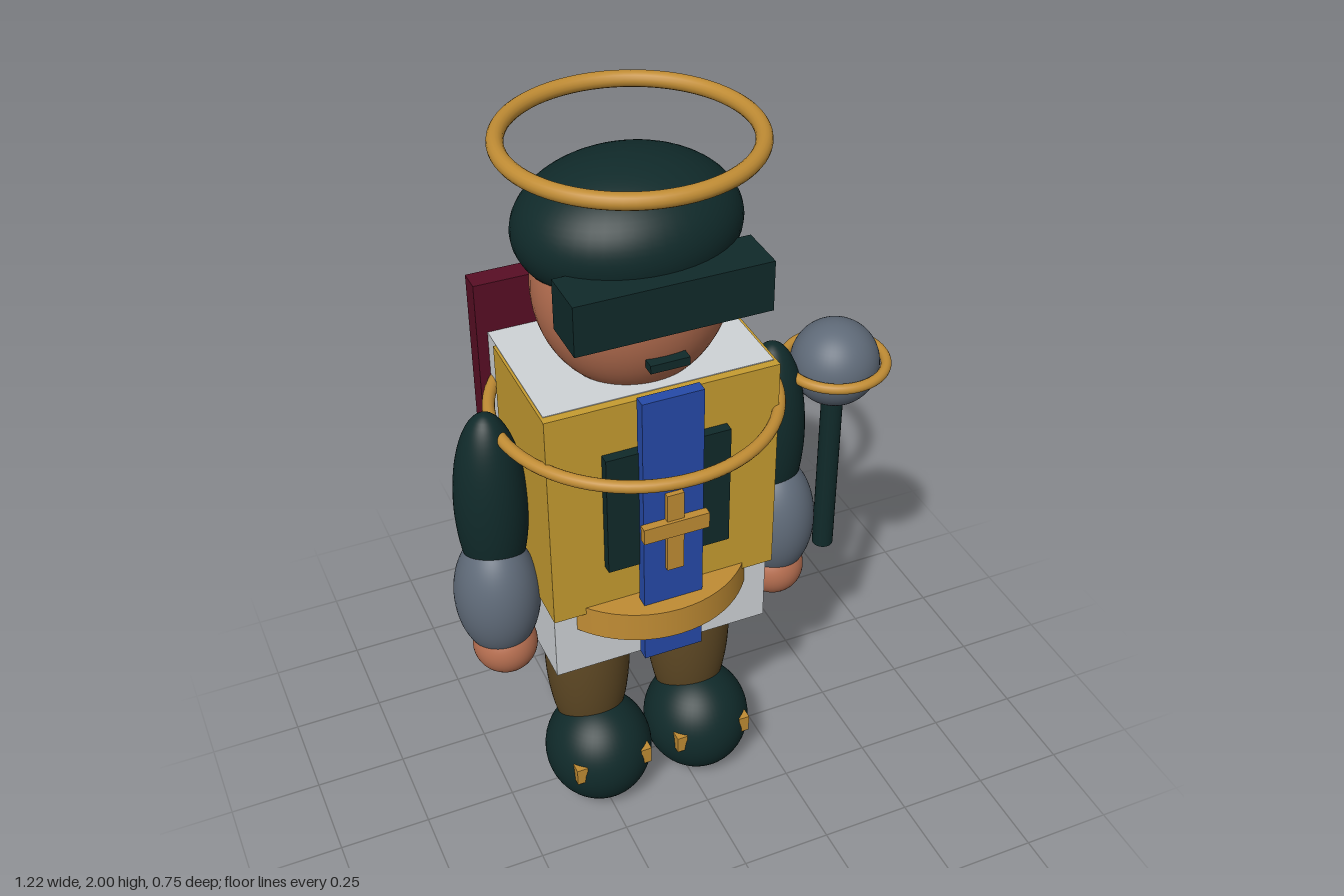
import * as THREE from 'three';

const mat = (name, color) => {
  const m = new THREE.MeshStandardMaterial({ color });
  m.name = name;
  return m;
};

export function createModel() {
  const green = mat('dark green', 0x102a2a);
  const gold = mat('gold trim', 0xc08c34);
  const yellow = mat('yellow tunic', 0xc69c30);
  const blue = mat('blue sash', 0x264aa8);
  const white = mat('white cloth', 0xcfd3d6);
  const red = mat('dark red', 0x580e24);
  const skin = mat('skin', 0xb56e50);
  const steel = mat('grey steel', 0x5f6a78);
  const brown = mat('brown trousers', 0x5e4824);
  const eyeBlue = mat('pale eye', 0xa8ccd4);

  const model = new THREE.Group();
  model.name = 'figure';
  // The body stands left of the middle to balance the mace
  const body = new THREE.Group();
  body.name = 'body';
  body.position.x = -0.104;
  model.add(body);

  const add = (parent, name, geo, material, x, y, z) => {
    const mesh = new THREE.Mesh(geo, material);
    mesh.name = name;
    mesh.position.set(x, y, z);
    parent.add(mesh);
    return mesh;
  };
  const box = (name, m, w, h, d, x, y, z) =>
    add(body, name, new THREE.BoxGeometry(w, h, d), m, x, y, z);
  const ball = (name, m, rx, ry, rz, x, y, z, parent = body) =>
    add(parent, name, new THREE.SphereGeometry(1, 48, 32).scale(rx, ry, rz), m, x, y, z);
  const ring = (name, radius, tube, x, y, parent = body) =>
    add(parent, name, new THREE.TorusGeometry(radius, tube, 16, 72).rotateX(Math.PI / 2), gold, x, y, 0);

  // Head, hat and halo
  ball('head', skin, 0.246, 0.28, 0.217, 0, 1.62, 0);
  const profile = [new THREE.Vector2(0, -0.5)];
  for (let i = 0; i <= 24; i++) {
    const a = (Math.PI * 2 / 3) * (1 - i / 24);
    profile.push(new THREE.Vector2(Math.sin(a), Math.cos(a)));
  }
  const hat = add(body, 'hat', new THREE.LatheGeometry(profile, 48).scale(0.278, 0.172, 0.239),
    green, 0, 1.755, -0.024);
  hat.rotation.x = -0.1;
  box('visor', green, 0.49, 0.13, 0.13, 0, 1.675, 0.192);
  box('mouth', green, 0.1, 0.022, 0.03, 0, 1.505, 0.212);
  ring('halo', 0.3, 0.02, 0, 1.98);

  // Torso and clothing
  box('undershirt', white, 0.594, 0.828, 0.395, 0, 0.993, -0.028);
  box('tunic', yellow, 0.608, 0.62, 0.352, 0, 1.095, 0.016);
  box('chestPanel', green, 0.328, 0.345, 0.03, 0, 1.098, 0.204);
  box('sash', blue, 0.16, 0.805, 0.032, 0, 1.025, 0.228);
  box('crossUpright', gold, 0.045, 0.235, 0.02, 0, 1.032, 0.248);
  box('crossBar', gold, 0.175, 0.045, 0.022, 0, 1.048, 0.255);
  add(body, 'belt', new THREE.CylinderGeometry(0.291, 0.291, 0.085, 64), gold, 0, 0.763, 0);
  ring('chestRing', 0.36, 0.016, 0, 1.27);
  box('backBoard', red, 0.65, 1.17, 0.06, 0, 0.96, -0.252);

  // Mirrored limbs and face parts
  for (const [side, s] of [['left', 1], ['right', -1]]) {
    ball(side + 'Eye', eyeBlue, 0.032, 0.032, 0.025, s * 0.085, 1.632, 0.2);
    ball(side + 'UpperArm', green, 0.093, 0.275, 0.094, s * 0.386, 1.05, -0.008);
    ball(side + 'Forearm', steel, 0.111, 0.185, 0.119, s * 0.395, 0.78, 0.015);
    ball(side + 'Hand', skin, 0.085, 0.083, 0.085, s * 0.39, 0.624, 0.035);
    ball(side + 'Leg', brown, 0.117, 0.35, 0.114, s * 0.15, 0.48, -0.002);
    ball(side + 'Boot', green, 0.149, 0.16, 0.154, s * 0.15, 0.16, 0.06);
    for (const b of [-1, 1]) {
      box(side + 'BootBuckle', gold, 0.03, 0.052, 0.03, s * 0.15 + b * 0.095, 0.185, 0.169);
    }
  }

  // Mace held beside the left arm
  const mace = new THREE.Group();
  mace.name = 'mace';
  mace.position.x = 0.461;
  model.add(mace);
  add(mace, 'maceHandle', new THREE.CylinderGeometry(0.029, 0.029, 0.58, 24), green, 0, 0.907, 0);
  ball('maceHead', steel, 0.117, 0.117, 0.117, 0, 1.225, 0, mace);
  ring('maceRing', 0.133, 0.014, 0, 1.228, mace);

  return model;
}
